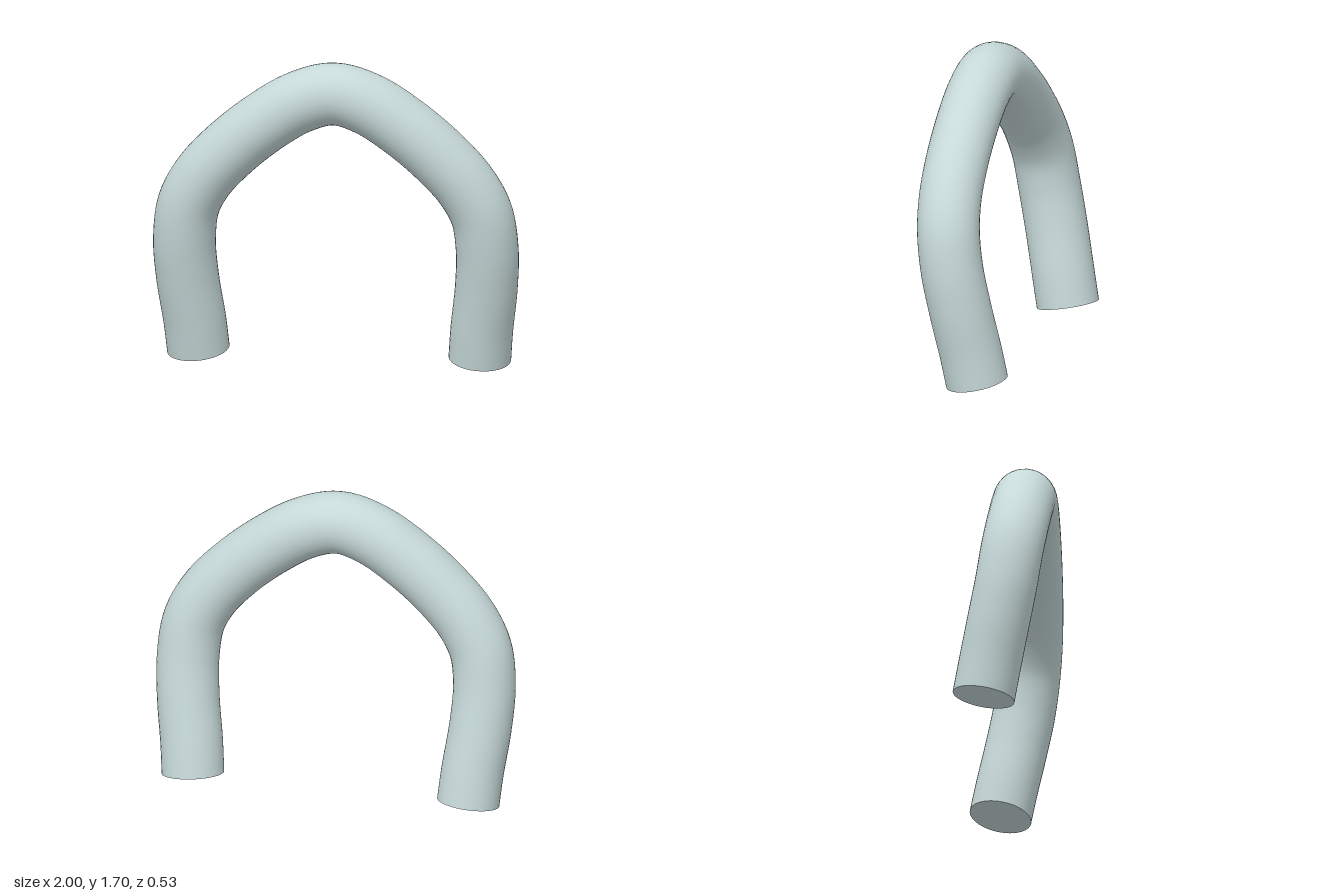
import * as THREE from 'three';

const RADIUS = 0.17;

export function createModel() {
  const group = new THREE.Group();
  group.name = 'bentTube';
  const material = new THREE.MeshStandardMaterial({ color: 0xc6d8d8 });

  // Centre line of one half, from the foot up to the crown
  const half = [
    [0.77, 0.034, -0.095], [0.785, 0.2, -0.064], [0.818, 0.46, -0.012],
    [0.828, 0.68, 0.03], [0.8, 0.88, 0.058], [0.715, 1.04, 0.076],
    [0.58, 1.19, 0.087], [0.4, 1.343, 0.093], [0.19, 1.476, 0.095],
  ].map(p => new THREE.Vector3(...p));
  const mirrored = half.map(p => new THREE.Vector3(-p.x, p.y, p.z)).reverse();
  const path = new THREE.CatmullRomCurve3(
    [...half, new THREE.Vector3(0, 1.528, 0.095), ...mirrored]);

  // Arched tube
  const arch = new THREE.Mesh(new THREE.TubeGeometry(path, 120, RADIUS, 40), material);
  arch.name = 'arch';
  group.add(arch);

  // Flat discs closing both feet, facing outward along the path
  for (const [t, sign, name] of [[0, -1, 'leftFootCap'], [1, 1, 'rightFootCap']]) {
    const cap = new THREE.Mesh(new THREE.CircleGeometry(RADIUS, 40), material);
    cap.name = name;
    cap.position.copy(path.getPointAt(t));
    cap.quaternion.setFromUnitVectors(
      new THREE.Vector3(0, 0, 1), path.getTangentAt(t).multiplyScalar(sign));
    group.add(cap);
  }
  return group;
}
